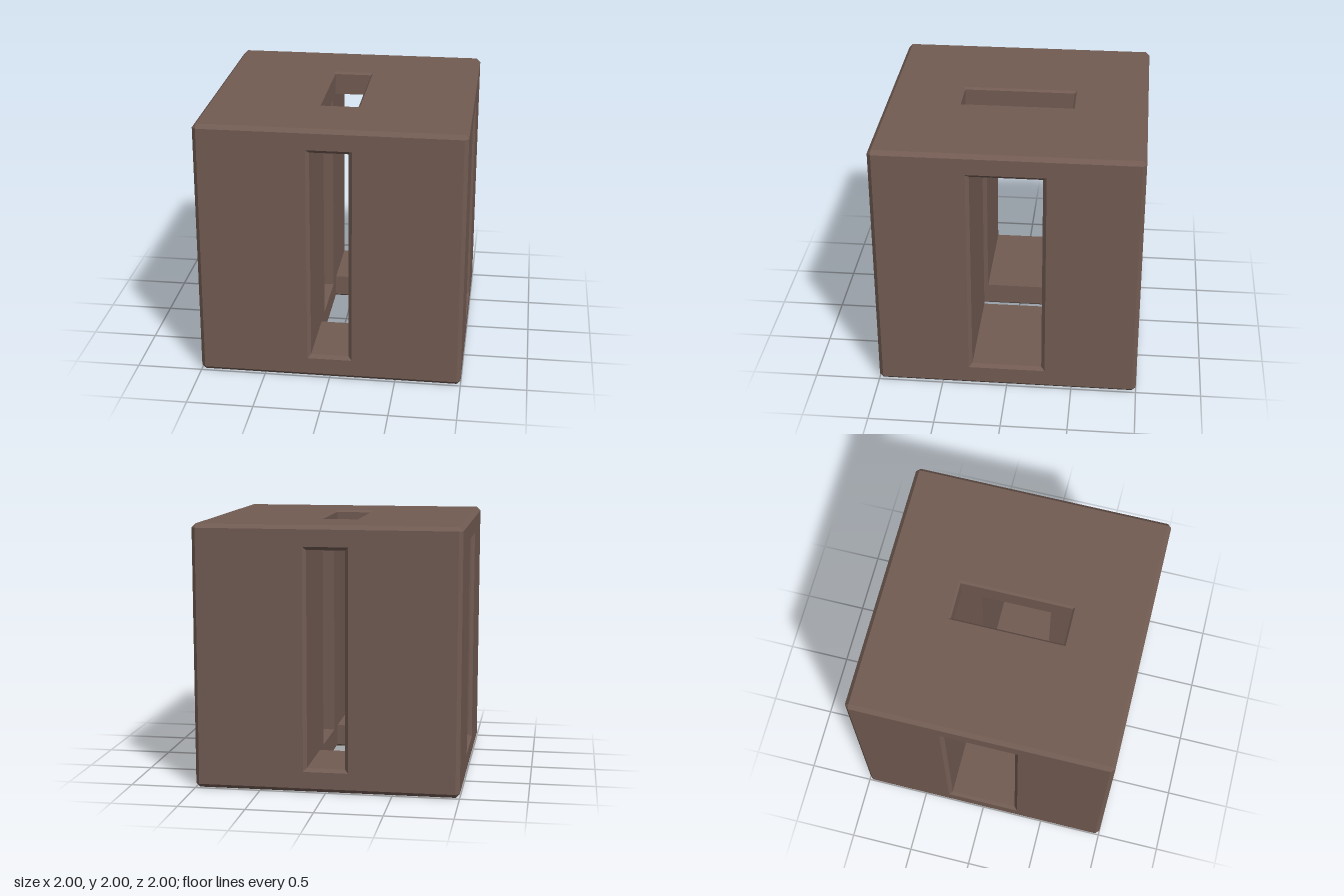
import * as THREE from 'three';

const E = 0.97; // where the outer chamfers begin

// Half sizes of the slot in each face: mouth, tunnel and chamfer depth, listed as [x, y, z]
const slots = [
  { mouth: [0, 0.843, 0.294], tunnel: [0, 0.818, 0.267], depth: 0.025 }, // x axis
  { mouth: [0.16, 0, 0.444], tunnel: [0.144, 0, 0.428], depth: 0.016 },  // y axis
  { mouth: [0.17, 0.843, 0], tunnel: [0.144, 0.818, 0], depth: 0.025 },  // z axis
];

// Builds one octant's polygons, mirrored into all eight octants
function mirroredGeometry(polygons) {
  const positions = [];
  const a = new THREE.Vector3(), b = new THREE.Vector3(), c = new THREE.Vector3();
  for (const sx of [1, -1]) for (const sy of [1, -1]) for (const sz of [1, -1]) {
    const s = new THREE.Vector3(sx, sy, sz);
    for (const { points, normal } of polygons) {
      const n = new THREE.Vector3(...normal).multiply(s);
      const p = points.map((q) => new THREE.Vector3(...q).multiply(s));
      a.subVectors(p[1], p[0]);
      b.subVectors(p[2], p[0]);
      if (c.crossVectors(a, b).dot(n) < 0) p.reverse();
      for (let i = 1; i < p.length - 1; i++) {
        for (const v of [p[0], p[i], p[i + 1]]) positions.push(v.x, v.y, v.z);
      }
    }
  }
  const geometry = new THREE.BufferGeometry();
  geometry.setAttribute('position', new THREE.Float32BufferAttribute(positions, 3));
  geometry.computeVertexNormals();
  return geometry;
}

export function createModel() {
  const model = new THREE.Group();
  model.name = 'slottedCube';
  const brown = new THREE.MeshStandardMaterial({ color: 0x725c53 });
  brown.name = 'brown';

  const panels = [], edges = [], rims = [], walls = [];

  slots.forEach(({ mouth, tunnel, depth }, w) => {
    const u = (w + 1) % 3, v = (w + 2) % 3;
    // Point from its u, v, w coordinates
    const at = (pu, pv, pw) => {
      const p = [0, 0, 0];
      p[u] = pu; p[v] = pv; p[w] = pw;
      return p;
    };
    const add = (list, normal, ...points) =>
      list.push({ normal: at(...normal), points: points.map((p) => at(...p)) });
    const mu = mouth[u], mv = mouth[v], tu = tunnel[u], tv = tunnel[v], d = 1 - depth;

    // Flat outer face around the slot
    add(panels, [0, 0, 1], [mu, 0, 1], [E, 0, 1], [E, E, 1], [mu, E, 1]);
    add(panels, [0, 0, 1], [0, mv, 1], [mu, mv, 1], [mu, E, 1], [0, E, 1]);

    // Chamfered cube edge running along w
    add(edges, [1, 1, 0], [1, E, 0], [1, E, E], [E, 1, E], [E, 1, 0]);

    // Chamfered slot rim
    add(rims, [-1, 0, 1], [mu, 0, 1], [mu, mv, 1], [tu, tv, d], [tu, 0, d]);
    add(rims, [0, -1, 1], [0, mv, 1], [mu, mv, 1], [tu, tv, d], [0, tv, d]);
  });
  // Cube corners
  edges.push({ normal: [1, 1, 1], points: [[1, E, E], [E, 1, E], [E, E, 1]] });

  // Tunnel walls, leaving the crossings open
  const [X, Y, Z] = slots;
  const hx = Z.tunnel[0], hy = Z.tunnel[1], hz = X.tunnel[2], shaft = Y.tunnel[2];
  const dx = 1 - X.depth, dy = 1 - Y.depth, dz = 1 - Z.depth;
  const wall = (normal, ...points) => walls.push({ normal, points });
  // Upright sides
  wall([-1, 0, 0], [hx, 0, hz], [hx, hy, hz], [hx, hy, dz], [hx, 0, dz]);
  wall([0, 0, -1], [hx, 0, hz], [hx, hy, hz], [dx, hy, hz], [dx, 0, hz]);
  // Ceilings and floors
  wall([0, -1, 0], [0, hy, shaft], [hx, hy, shaft], [hx, hy, dz], [0, hy, dz]);
  wall([0, -1, 0], [hx, hy, 0], [dx, hy, 0], [dx, hy, hz], [hx, hy, hz]);
  // Short vertical shaft
  wall([-1, 0, 0], [hx, hy, 0], [hx, dy, 0], [hx, dy, shaft], [hx, hy, shaft]);
  wall([0, 0, -1], [0, hy, shaft], [0, dy, shaft], [hx, dy, shaft], [hx, hy, shaft]);

  const parts = { outerFaces: panels, chamferedEdges: edges, slotRims: rims, tunnelWalls: walls };
  for (const [name, polygons] of Object.entries(parts)) {
    const mesh = new THREE.Mesh(mirroredGeometry(polygons), brown);
    mesh.name = name;
    mesh.position.y = 1;
    model.add(mesh);
  }
  return model;
}
